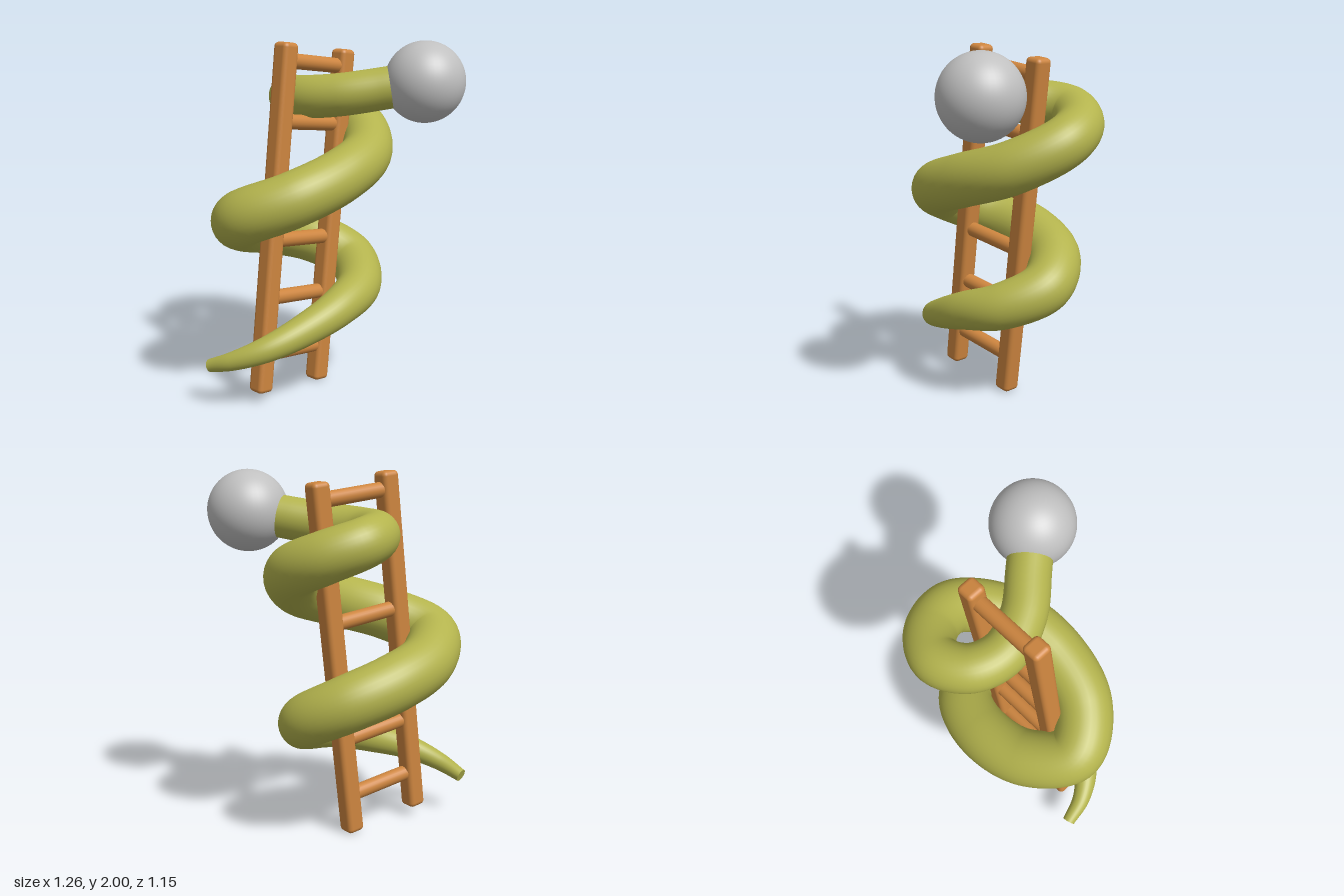
import * as THREE from 'three';
import { RoundedBoxGeometry } from 'three/addons/geometries/RoundedBoxGeometry.js';

const mat = (name, color) => {
  const m = new THREE.MeshStandardMaterial({ color });
  m.name = name;
  return m;
};
const add = (parent, name, geometry, material, x = 0, y = 0, z = 0) => {
  const mesh = new THREE.Mesh(geometry, material);
  mesh.name = name;
  mesh.position.set(x, y, z);
  parent.add(mesh);
  return mesh;
};

// body centre line from tail to head: x, y, z, radius
const BODY = [
  [-0.6, 0.235, -0.315, 0.037], [-0.56, 0.29, -0.17, 0.052], [-0.45, 0.36, -0.03, 0.07],
  [-0.25, 0.44, 0.06, 0.09], [0, 0.53, 0.1, 0.11], [0.23, 0.6, 0.04, 0.13],
  [0.365, 0.7, -0.15, 0.145], [0.25, 0.81, -0.34, 0.152], [0, 0.9, -0.415, 0.156],
  [-0.28, 0.98, -0.36, 0.156], [-0.46, 1.08, -0.17, 0.155], [-0.31, 1.18, 0.04, 0.152],
  [0, 1.28, 0.11, 0.15], [0.29, 1.375, 0.04, 0.145], [0.455, 1.5, -0.17, 0.14],
  [0.4, 1.58, -0.36, 0.135], [0.24, 1.645, -0.45, 0.128], [0.085, 1.675, -0.37, 0.123],
  [0.03, 1.685, -0.2, 0.12], [0.1, 1.705, 0, 0.118], [0.25, 1.74, 0.18, 0.116],
  [0.4, 1.78, 0.35, 0.115],
];

// tube whose rings are rescaled to the tapering radius
function taperedTube(curve, rings, sides) {
  const geo = new THREE.TubeGeometry(curve, rings, 1, sides, false);
  const pos = geo.attributes.position;
  const p = new THREE.Vector3();
  for (let i = 0; i <= rings; i++) {
    const centre = curve.getPointAt(i / rings);
    const t = curve.getUtoTmapping(i / rings) * (BODY.length - 1);
    const k = Math.min(Math.floor(t), BODY.length - 2);
    const r = THREE.MathUtils.lerp(BODY[k][3], BODY[k + 1][3], t - k);
    for (let j = 0; j <= sides; j++) {
      const v = i * (sides + 1) + j;
      p.fromBufferAttribute(pos, v).sub(centre).multiplyScalar(r).add(centre);
      pos.setXYZ(v, p.x, p.y, p.z);
    }
  }
  return geo;
}

export function createModel() {
  const wood = mat('orange wood', 0xcd853f);
  const olive = mat('olive skin', 0xb3b34d);
  const grey = mat('light grey', 0xc0c0c0);
  const model = new THREE.Group();
  model.name = 'coiledLadder';

  // leaning ladder
  const ladder = new THREE.Group();
  ladder.name = 'ladder';
  ladder.position.set(-0.039, 1.0, -0.15);
  ladder.rotation.z = -0.117;
  for (const side of [-1, 1]) {
    add(ladder, side < 0 ? 'rightRail' : 'leftRail',
      new RoundedBoxGeometry(0.105, 1.945, 0.105, 3, 0.026), wood, side * 0.224, 0, 0);
  }
  for (let i = 0; i < 6; i++) {
    add(ladder, 'rung' + (i + 1), new THREE.CylinderGeometry(0.042, 0.042, 0.44, 24), wood,
      0, -0.758 + i * 0.327, 0).rotation.z = Math.PI / 2;
  }
  model.add(ladder);

  // coiled creature
  const creature = new THREE.Group();
  creature.name = 'creature';
  const curve = new THREE.CatmullRomCurve3(BODY.map(([x, y, z]) => new THREE.Vector3(x, y, z)));
  curve.arcLengthDivisions = 600;
  add(creature, 'body', taperedTube(curve, 260, 32), olive);

  // flat tail end, facing away from the body
  const tail = add(creature, 'tailEnd', new THREE.CircleGeometry(BODY[0][3], 32), olive, ...BODY[0].slice(0, 3));
  tail.quaternion.setFromUnitVectors(new THREE.Vector3(0, 0, 1), curve.getTangentAt(0).negate());

  // round head
  add(creature, 'head', new THREE.SphereGeometry(0.222, 48, 32), grey, 0.405, 1.778, 0.355);
  model.add(creature);
  return model;
}
